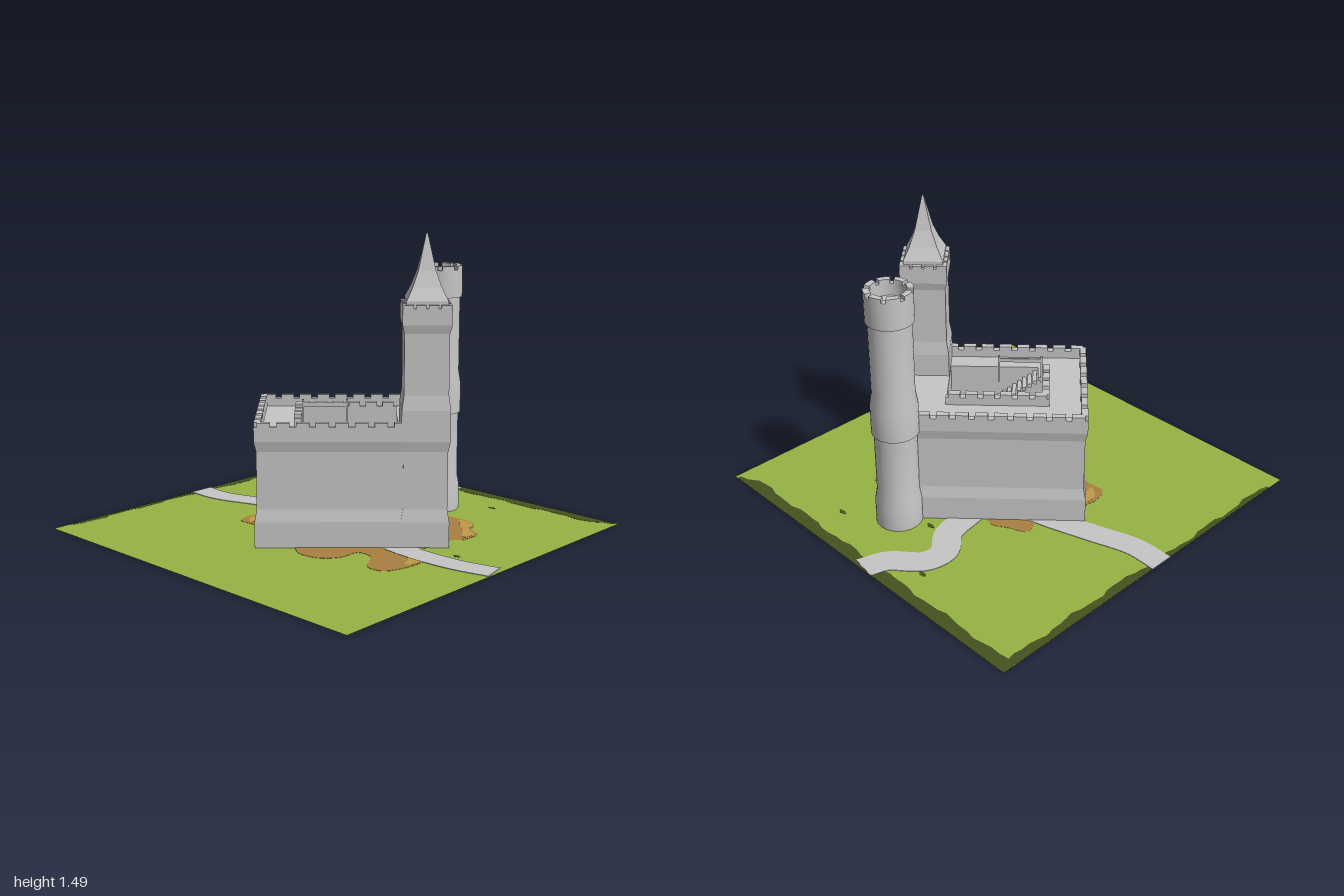
import * as THREE from 'three';
import { toCreasedNormals } from 'three/addons/utils/BufferGeometryUtils.js';

const material = (name, color, side = THREE.FrontSide) => {
  const m = new THREE.MeshStandardMaterial({ color, side });
  m.name = name;
  return m;
};

export function createModel() {
  const stone = material('stone', 0xc6c6c6, THREE.DoubleSide);
  const grass = material('grass', 0x96b343, THREE.DoubleSide);
  const darkGrass = material('dark grass', 0x46521f);
  const dirt = material('dirt', 0xaa8042);
  const sand = material('sand', 0xc09c48);

  const model = new THREE.Group();
  model.name = 'castle on a field';

  const add = (parent, name, geometry, mat, x = 0, y = 0, z = 0) => {
    const mesh = new THREE.Mesh(geometry, mat);
    mesh.name = name;
    mesh.position.set(x, y, z);
    parent.add(mesh);
    return mesh;
  };
  const box = (parent, name, w, h, d, x, y, z) =>
    add(parent, name, new THREE.BoxGeometry(w, h, d), stone, x, y, z);

  // Rectangular skin following a profile of [height, inset]
  const loft = (hx, hz, profile) => {
    const pos = [];
    const corner = ([y, s], k) => {
      const [sx, sz] = [[1, 1], [1, -1], [-1, -1], [-1, 1]][k % 4];
      return [sx * (hx - s), y, sz * (hz - s)];
    };
    for (let i = 0; i < profile.length - 1; i++) {
      for (let k = 0; k < 4; k++) {
        const a = corner(profile[i], k), b = corner(profile[i], k + 1);
        const c = corner(profile[i + 1], k + 1), d = corner(profile[i + 1], k);
        pos.push(...a, ...b, ...c, ...a, ...c, ...d);
      }
    }
    const g = new THREE.BufferGeometry();
    g.setAttribute('position', new THREE.Float32BufferAttribute(pos, 3));
    g.computeVertexNormals();
    return g;
  };

  // Flat ground piece straddling the field surface
  const FIELD_Y = 0.003;
  const flat = (name, points, mat, half) => {
    const shape = new THREE.Shape(points.map(p => new THREE.Vector2(p.x, -p.z)));
    const g = new THREE.ExtrudeGeometry(shape, { depth: half * 2, bevelEnabled: false });
    g.rotateX(-Math.PI / 2);
    add(model, name, g, mat, 0, FIELD_Y - half, 0);
  };
  const curve = (pts, closed) =>
    new THREE.CatmullRomCurve3(pts.map(([x, z]) => new THREE.Vector3(x, 0, z)), closed);
  const blob = (name, pts, mat, half) => {
    const p = curve(pts, true).getPoints(pts.length * 4);
    p.pop();
    flat(name, p, mat, half);
  };
  const path = (name, pts, width) => {
    const c = curve(pts, false), left = [], right = [];
    for (let i = 0; i <= 32; i++) {
      const p = c.getPoint(i / 32), t = c.getTangent(i / 32);
      const n = new THREE.Vector3(-t.z, 0, t.x).multiplyScalar(width / 2);
      const keep = v => v.clampScalar(-1, 1);
      left.push(keep(p.clone().add(n)));
      right.unshift(keep(p.clone().sub(n)));
    }
    flat(name, left.concat(right), stone, 0.0026);
  };

  // Field, bare earth and paths
  add(model, 'field', new THREE.PlaneGeometry(2, 2).rotateX(-Math.PI / 2), grass, 0, FIELD_Y, 0);
  blob('bare earth', [
    [0.27, -0.5], [0.36, -0.52], [0.47, -0.5], [0.52, -0.42], [0.59, -0.37], [0.59, -0.26],
    [0.54, -0.2], [0.57, -0.1], [0.5, 0.05], [0.64, 0.1], [0.66, 0.18], [0.61, 0.34],
    [0.52, 0.35], [0.43, 0.23], [0.35, 0.23], [0.34, 0.33], [0.28, 0.41], [0.16, 0.43],
    [0.06, 0.37], [-0.1, 0.32], [-0.32, 0.27], [-0.42, 0.27], [-0.45, 0.18], [-0.42, 0.05],
    [-0.34, -0.1], [-0.39, -0.24], [-0.3, -0.29], [-0.22, -0.33], [-0.1, -0.29], [0.1, -0.4]
  ], dirt, 0.0012);
  blob('courtyard sand', [[-0.22, 0], [-0.05, -0.03], [0.1, 0.03], [0.08, 0.16], [-0.04, 0.19], [-0.15, 0.1]], sand, 0.0019);
  blob('north sand', [[0.38, -0.5], [0.47, -0.49], [0.51, -0.41], [0.58, -0.36], [0.57, -0.29], [0.5, -0.37], [0.43, -0.44]], sand, 0.0019);
  blob('east sand', [[0.55, 0.1], [0.64, 0.1], [0.65, 0.17], [0.62, 0.21], [0.59, 0.15]], sand, 0.0019);
  blob('west sand', [[-0.43, 0.14], [-0.38, 0.18], [-0.36, 0.25], [-0.42, 0.21]], sand, 0.0019);
  path('west path', [[-1, 0.04], [-0.83, 0.04], [-0.6, -0.03], [-0.32, -0.11], [-0.1, -0.13]], 0.13);
  path('east path', [[0.98, 0.01], [0.8, 0.05], [0.6, 0.06], [0.4, 0.04], [0.2, -0.02], [0.03, -0.07], [-0.1, -0.13]], 0.13);
  path('north path', [[-0.04, -1], [-0.08, -0.88], [-0.21, -0.75], [-0.22, -0.64], [-0.13, -0.53], [-0.1, -0.4], [-0.08, -0.25]], 0.14);

  // Ragged dark borders along the back and the left of the map
  const border = (name, from, to, width, place) => {
    const pts = [place(to, 0), place(from, 0)];
    for (let i = 0; i <= 40; i++) {
      const t = i / 40;
      const wobble = 0.008 * Math.sin(i * 0.9) + 0.005 * Math.sin(i * 2.3);
      pts.push(place(from + (to - from) * t, Math.max(0.005, width(t) + wobble)));
    }
    flat(name, pts, darkGrass, 0.0008);
  };
  border('back border', -0.999, 0.98, t => (t > 0.95 ? 0.03 : 0.065), (s, w) => new THREE.Vector3(s, 0, -0.999 + w));
  border('side border', -0.93, 0.9, t => (t < 0.5 ? 0.045 : 0.025), (s, w) => new THREE.Vector3(-0.999 + w, 0, s));
  [[-0.27, -0.82], [0.37, -0.79], [-0.02, -0.55], [0.72, -0.05]].forEach(([x, z]) =>
    blob('dark tuft', [[x - 0.025, z], [x, z - 0.012], [x + 0.025, z + 0.004], [x, z + 0.012]], darkGrass, 0.0008));

  // Keep, turned on the field
  const keep = new THREE.Group();
  keep.name = 'keep';
  keep.position.set(0.043, 0, -0.05);
  keep.rotation.y = THREE.MathUtils.degToRad(43.7);
  model.add(keep);
  const HX = 0.46, HZ = 0.345, DECK = 0.55;
  add(keep, 'outer wall', loft(HX, HZ, [[0, 0], [0.13, 0], [0.19, 0.011], [0.47, 0.011], [0.52, 0], [0.59, 0], [0.59, 0.032], [DECK, 0.032]]), stone);

  // Rectangular slab with a rectangular opening
  const ring = (hx, hz, x0, x1, z0, z1) => {
    const s = new THREE.Shape([[-hx, -hz], [hx, -hz], [hx, hz], [-hx, hz]].map(p => new THREE.Vector2(...p)));
    s.holes.push(new THREE.Path([[x0, -z0], [x0, -z1], [x1, -z1], [x1, -z0]].map(p => new THREE.Vector2(...p))));
    return new THREE.ShapeGeometry(s).rotateX(-Math.PI / 2);
  };
  const X0 = -0.24, X1 = 0.23, Z0 = -0.12, Z1 = 0.215;
  add(keep, 'roof deck', ring(HX - 0.03, HZ - 0.03, X0, X1, Z0, Z1), stone, 0, DECK, 0);
  add(keep, 'keep footing', ring(HX, HZ, X0, X1, Z0, Z1), stone);
  add(keep, 'courtyard walls', loft((X1 - X0) / 2, (Z1 - Z0) / 2, [[DECK, 0], [0, 0]]), stone, (X0 + X1) / 2, 0, (Z0 + Z1) / 2);

  // Rows of merlons
  const merlons = (parent, name, x0, z0, x1, z1, count, thick, y, h, fill = 0.68) => {
    const along = x0 !== x1, len = (along ? x1 - x0 : z1 - z0) / count;
    for (let i = 0; i < count; i++) {
      const t = (i + 0.5) / count, w = len * fill;
      box(parent, name, along ? w : thick, h, along ? thick : w, x0 + (x1 - x0) * t, y + h / 2, z0 + (z1 - z0) * t);
    }
  };
  for (const s of [-1, 1]) {
    merlons(keep, 'wall merlon', -HX, s * (HZ - 0.016), HX, s * (HZ - 0.016), 10, 0.032, 0.59, 0.02);
    merlons(keep, 'wall merlon', s * (HX - 0.016), -HZ, s * (HX - 0.016), HZ, 7, 0.032, 0.59, 0.02);
  }
  // Courtyard parapet
  box(keep, 'courtyard parapet', 0.505, 0.04, 0.035, -0.022, DECK + 0.02, Z0 - 0.0175);
  merlons(keep, 'courtyard merlon', -0.275, Z0 - 0.0175, 0.23, Z0 - 0.0175, 6, 0.035, 0.59, 0.02);
  box(keep, 'courtyard parapet', 0.035, 0.04, 0.275, X0 - 0.0175, DECK + 0.02, 0.0175);
  merlons(keep, 'courtyard merlon', X0 - 0.0175, -0.155, X0 - 0.0175, 0.155, 4, 0.035, 0.59, 0.02);

  // Stairs down from the deck, with a railing
  for (let i = 0; i < 9; i++) {
    box(keep, 'upper stair', 0.02, 0.02, 0.1, -0.225 + i * 0.026, 0.54 - i * 0.02, 0.165);
    box(keep, 'lower stair', 0.017, 0.02, 0.075, 0.045 + i * 0.02, 0.35 - i * 0.02, 0.178);
  }
  box(keep, 'stair landing', 0.05, 0.02, 0.1, 0.012, 0.36, 0.165);
  box(keep, 'stair base', X1 - X0, 0.15, 0.1, (X0 + X1) / 2, 0.075, 0.165);
  box(keep, 'railing beam', 0.22, 0.02, 0.008, -0.126, 0.65, 0.114);
  for (const x of [-0.233, -0.02]) box(keep, 'railing post', 0.01, 0.15, 0.01, x, 0.6, 0.114);

  // Slender gate bars on the end wall
  box(keep, 'gate bar', 0.006, 0.28, 0.006, -HX + 0.011, 0.34, -0.03);
  box(keep, 'gate bar', 0.006, 0.34, 0.006, -HX + 0.011, 0.31, 0.03);

  // Square tower
  const tower = new THREE.Group();
  tower.name = 'square tower';
  tower.position.set(0.347, 0, 0.232);
  keep.add(tower);
  const T = 0.115;
  add(tower, 'tower wall', loft(T, T, [[0, T], [0, 0], [0.13, 0], [0.19, 0.01], [0.47, 0.01], [0.52, 0], [0.67, 0], [0.74, 0.01], [1.03, 0.01], [1.07, 0], [1.148, 0], [1.148, T]]), stone);
  for (const s of [-1, 1]) {
    merlons(tower, 'tower merlon', -T, s * (T - 0.009), T, s * (T - 0.009), 4, 0.018, 1.148, 0.015, 0.8);
    merlons(tower, 'tower merlon', s * (T - 0.009), -T, s * (T - 0.009), T, 4, 0.018, 1.148, 0.015, 0.8);
  }
  add(tower, 'spire', loft(0.097, 0.097, [[1.14, 0], [1.18, 0], [1.24, 0.029], [1.315, 0.056], [1.485, 0.093], [1.487, 0.097]]), stone);

  // Round tower
  const R = 0.115, N = 0.104;
  const round = new THREE.Group();
  round.name = 'round tower';
  round.position.set(0.137, 0, -0.613);
  model.add(round);
  const profile = [[0, 0], [R, 0], [R, 0.13], [N, 0.19], [N, 0.47], [N, 0.52], [R, 0.52], [R, 0.67], [N, 0.74],
    [N, 1.12], [R, 1.12], [R, 1.26], [0.085, 1.26], [0.085, 1.2], [0, 1.2]].map(p => new THREE.Vector2(...p));
  add(round, 'round tower wall', toCreasedNormals(new THREE.LatheGeometry(profile, 32), 0.5), stone);
  for (let i = 0; i < 8; i++) {
    const a = i * Math.PI / 4, b = a + 0.58;
    const s = new THREE.Shape();
    s.absarc(0, 0, R, a, b, false);
    s.absarc(0, 0, 0.085, b, a, true);
    const g = new THREE.ExtrudeGeometry(s, { depth: 0.02, bevelEnabled: false, curveSegments: 5 });
    add(round, 'round tower merlon', g.rotateX(-Math.PI / 2), stone, 0, 1.26, 0);
  }
  return model;
}
